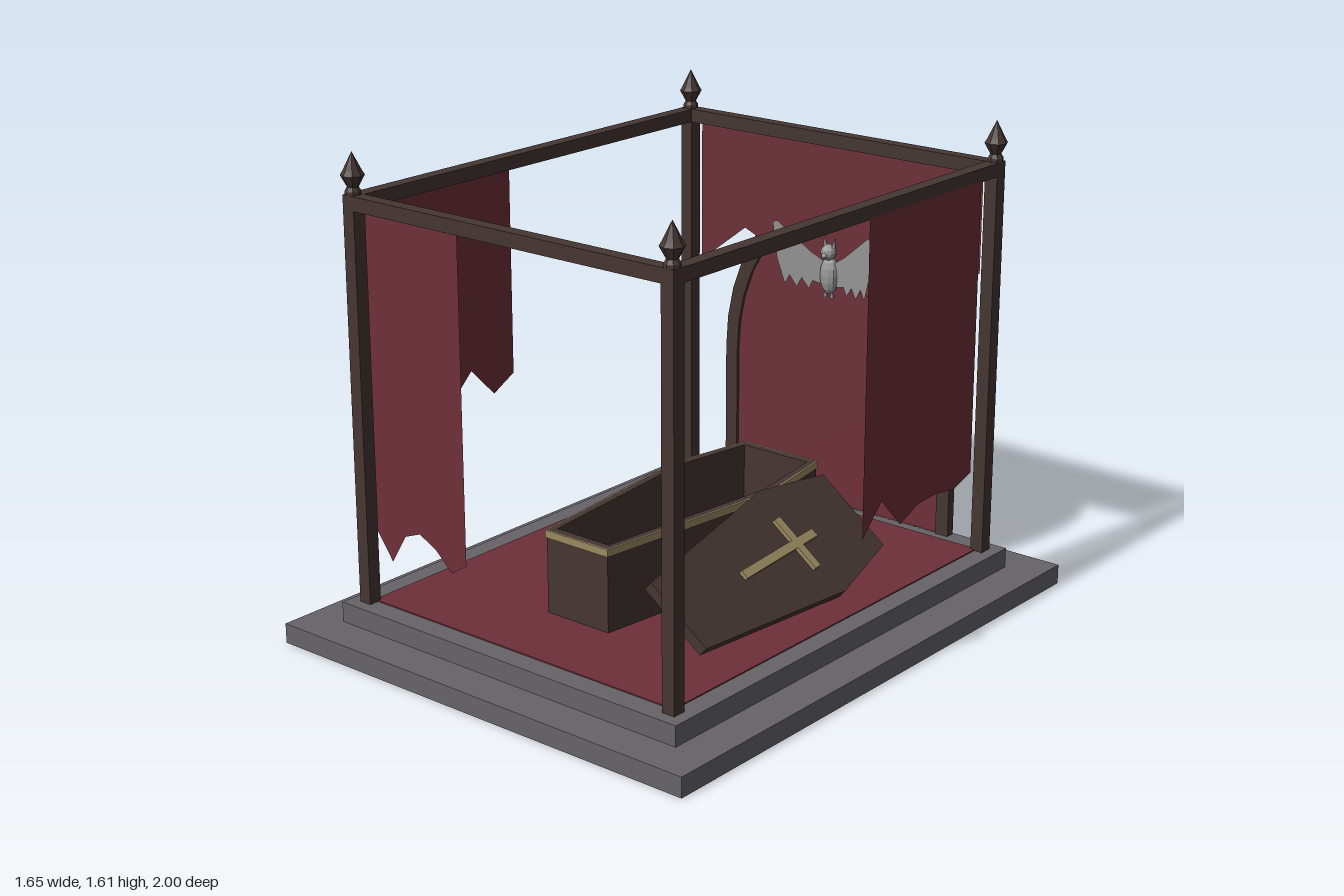
import * as THREE from 'three';

const mat = (color, side = THREE.FrontSide) =>
  new THREE.MeshStandardMaterial({ color, side, flatShading: true, roughness: 0.9 });

export function createModel() {
  const root = new THREE.Group();
  const stone = mat(0x666468), wood = mat(0x453632), gold = mat(0x9a8a60);
  const red = mat(0x6e3039), cloth = mat(0x6e3039, THREE.DoubleSide);
  const pink = mat(0x95595f), grey = mat(0x999999), wing = mat(0x999999, THREE.DoubleSide);

  const add = (name, geo, material, x = 0, y = 0, z = 0, parent = root) => {
    const m = new THREE.Mesh(geo, material);
    m.name = name;
    m.position.set(x, y, z);
    parent.add(m);
    return m;
  };
  const box = (name, w, h, d, material, x, y, z, parent) =>
    add(name, new THREE.BoxGeometry(w, h, d), material, x, y, z, parent);
  const polygon = (pts) => new THREE.Shape(pts.map(([x, y]) => new THREE.Vector2(x, y)));

  // Stepped plinth and carpet
  box('lowerStep', 1.65, 0.067, 2, stone, 0, 0.0335, 0);
  box('upperStep', 1.39, 0.068, 1.74, stone, 0, 0.101, 0);
  box('carpet', 1.25, 0.006, 1.59, red, 0, 0.136, 0);

  // Four posts with pointed finials
  const finial = new THREE.LatheGeometry(
    [[0, 0], [0.026, 0], [0.026, 0.012], [0.018, 0.025], [0.038, 0.062], [0.03, 0.075], [0, 0.135]]
      .map(([r, y]) => new THREE.Vector2(r, y)), 8);
  for (const sx of [-1, 1]) for (const sz of [-1, 1]) {
    box('post', 0.046, 1.34, 0.046, wood, sx * 0.632, 0.805, sz * 0.806);
    add('finial', finial, wood, sx * 0.632, 1.475, sz * 0.806);
  }
  // Top rails
  for (const s of [-1, 1]) {
    box('crossRail', 1.31, 0.046, 0.046, wood, 0, 1.453, s * 0.806);
    box('sideRail', 0.046, 0.045, 1.6, wood, s * 0.632, 1.453, 0);
  }

  // Torn curtains: straight top, ragged lower edge given as points
  const curtain = (name, hem, onSide, x, z) => {
    const first = hem[0], last = hem[hem.length - 1];
    const geo = new THREE.ShapeGeometry(polygon([[first[0], 1.435], ...hem, [last[0], 1.435]]));
    if (onSide) geo.rotateY(-Math.PI / 2);
    add(name, geo, cloth, x, 0, z);
  };
  curtain('frontCurtain', [[-0.585, 0.39], [-0.52, 0.3], [-0.46, 0.4], [-0.395, 0.425],
    [-0.325, 0.39], [-0.26, 0.33], [-0.195, 0.37]], false, 0, 0.806);
  curtain('backCurtain', [[-0.585, 0.93], [-0.39, 1.08], [-0.2, 1.0], [0, 0.95],
    [0.19, 0.92], [0.32, 1.02], [0.39, 1.065], [0.585, 1.09]], false, 0, -0.812);
  curtain('rightCurtain', [[0.095, 0.72], [0.19, 0.67], [0.295, 0.775], [0.395, 0.68],
    [0.6, 0.8], [0.695, 0.71]], true, -0.657, 0);
  curtain('leftCurtain', [[-0.69, 0.45], [-0.595, 0.42], [-0.49, 0.435], [-0.39, 0.43],
    [-0.29, 0.39], [-0.185, 0.5], [-0.085, 0.4]], true, 0.657, 0);

  // Pointed arch behind the back rail
  const arch = (Type, w, top) => {
    const s = new Type();
    s.moveTo(-w, 0.135);
    s.lineTo(w, 0.135);
    s.lineTo(w, 0.62);
    s.quadraticCurveTo(w, 1.1 - (0.485 - w), 0, top);
    s.quadraticCurveTo(-w, 1.1 - (0.485 - w), -w, 0.62);
    s.lineTo(-w, 0.135);
    return s;
  };
  const frame = arch(THREE.Shape, 0.485, 1.355);
  frame.holes.push(arch(THREE.Path, 0.435, 1.295));
  add('archFrame', new THREE.ExtrudeGeometry(frame,
    { depth: 0.033, bevelEnabled: false, curveSegments: 8 }), wood, 0, 0, -0.862);
  add('archPanel', new THREE.ExtrudeGeometry(arch(THREE.Shape, 0.437, 1.297),
    { depth: 0.012, bevelEnabled: false, curveSegments: 8 }), red, 0, 0, -0.852);

  // Six-sided coffin outline, shrunk by an inset, extruded upwards
  const outline = (i) => {
    const head = 0.155 - i * 0.65, mid = 0.213 - i, foot = 0.13 - i * 0.7;
    const zh = 0.525 - i, zm = 0.2, zf = -0.52 + i;
    return [[-head, zh], [-mid, zm], [-foot, zf], [foot, zf], [mid, zm], [head, zh]];
  };
  const slab = (inset, height, holeInset) => {
    const s = polygon(outline(inset));
    if (holeInset !== undefined) s.holes.push(polygon(outline(holeInset)));
    return new THREE.ExtrudeGeometry(s, { depth: height, bevelEnabled: false }).rotateX(-Math.PI / 2);
  };
  const coffin = new THREE.Group();
  coffin.name = 'coffin';
  root.add(coffin);
  add('coffinWalls', slab(0.005, 0.285, 0.033), wood, 0, 0.135, 0, coffin);
  add('coffinTrim', slab(0, 0.025, 0.006), gold, 0, 0.395, 0, coffin);
  add('coffinLining', slab(0.03, 0.06), red, 0, 0.14, 0, coffin);
  box('pillow', 0.17, 0.05, 0.12, pink, -0.005, 0.225, -0.4, coffin);

  // Lid leaning against the coffin, with a cross on top
  const lid = new THREE.Group();
  lid.name = 'lid';
  lid.position.set(0.395, 0.305, 0.045);
  lid.rotation.set(0, 0.105, -0.7);
  root.add(lid);
  add('lidBoard', slab(0, 0.035), wood, 0, -0.035, 0, lid);
  box('crossUpright', 0.03, 0.014, 0.425, gold, 0, 0.006, -0.05, lid);
  box('crossArm', 0.205, 0.014, 0.034, gold, 0, 0.006, -0.155, lid);

  // Bat hanging before the back curtain
  const bat = new THREE.Group();
  bat.name = 'bat';
  bat.position.z = -0.785;
  root.add(bat);
  const ball = new THREE.SphereGeometry(1, 10, 8);
  add('batBody', ball, grey, 0, 0.985, 0, bat).scale.set(0.036, 0.068, 0.03);
  add('batHead', ball, grey, 0, 1.067, 0.008, bat).scale.setScalar(0.028);
  add('batSnout', ball, grey, 0, 1.06, 0.034, bat).scale.setScalar(0.01);
  for (const s of [-1, 1]) {
    add('batEar', new THREE.ConeGeometry(0.012, 0.045, 5), grey, s * 0.019, 1.098, 0.005, bat)
      .rotation.z = -s * 0.2;
    add('batFoot', new THREE.ConeGeometry(0.009, 0.03, 5), grey, s * 0.014, 0.922, 0.005, bat);
    // Wing swept forward towards its tip
    const geo = new THREE.ShapeGeometry(polygon([[0.02, 1.03], [0.07, 1.06], [0.19, 1.155],
      [0.207, 1.15], [0.195, 1.02], [0.168, 0.93], [0.15, 0.965], [0.125, 0.925], [0.105, 0.96],
      [0.08, 0.925], [0.065, 0.955], [0.02, 0.945]]));
    const p = geo.attributes.position;
    for (let i = 0; i < p.count; i++) {
      const x = p.getX(i);
      p.setXYZ(i, s * x, p.getY(i), 0.22 * x + 0.06 * (p.getY(i) - 1.03));
    }
    geo.computeVertexNormals();
    add('batWing', geo, wing, 0, 0, 0, bat);
  }
  return root;
}
